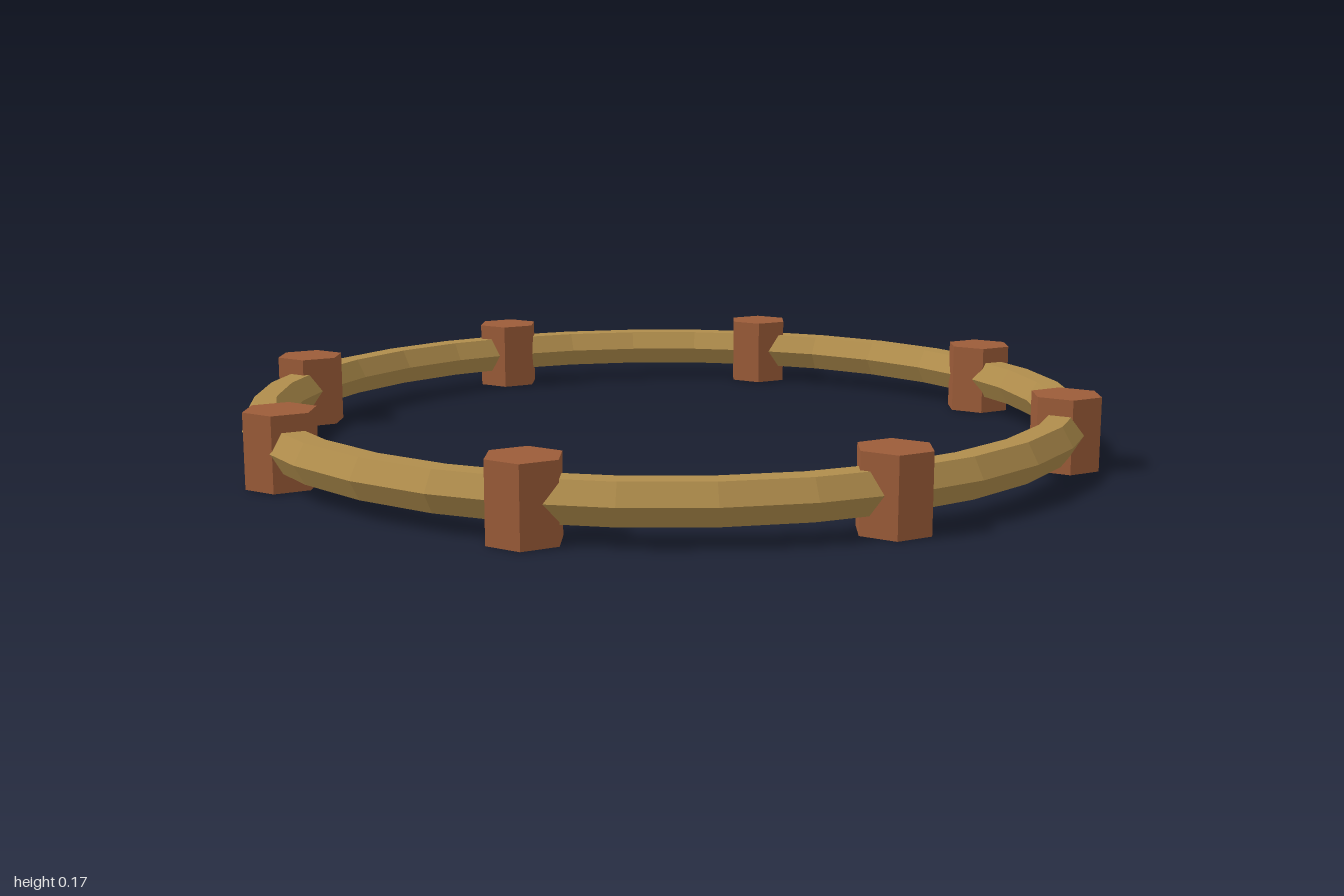
import * as THREE from 'three';
import { mergeGeometries } from 'three/addons/utils/BufferGeometryUtils.js';

const RING_RADIUS = 0.92;
const POST_RADIUS = 0.08;
const POST_HEIGHT = 0.165;
const POST_COUNT = 8;

// Six-sided sleeve with a lid, open underneath, corners on the x axis
function postGeometry() {
  const walls = new THREE.CylinderGeometry(POST_RADIUS, POST_RADIUS, POST_HEIGHT, 6, 1, true);
  walls.rotateY(Math.PI / 6);
  const lid = new THREE.CircleGeometry(POST_RADIUS, 6);
  lid.rotateX(-Math.PI / 2);
  lid.translate(0, POST_HEIGHT / 2, 0);
  const post = mergeGeometries([walls, lid]);
  post.translate(0, POST_HEIGHT / 2, 0);
  return post;
}

export function createModel() {
  const brass = new THREE.MeshStandardMaterial({ color: 0xb08d4c, flatShading: true });
  brass.name = 'brass';
  const brown = new THREE.MeshStandardMaterial({
    color: 0x9c5c39, flatShading: true, side: THREE.DoubleSide,
  });
  brown.name = 'reddish brown';

  const model = new THREE.Group();
  model.name = 'postedRing';

  // Hexagonal-section hoop
  const hoopGeometry = new THREE.TorusGeometry(RING_RADIUS, 0.05, 6, 32);
  hoopGeometry.rotateX(-Math.PI / 2);
  const hoop = new THREE.Mesh(hoopGeometry, brass);
  hoop.name = 'hoop';
  hoop.position.y = POST_HEIGHT / 2 + 0.002;
  model.add(hoop);

  // Posts evenly spaced round the hoop, all turned the same way
  const geometry = postGeometry();
  for (let i = 0; i < POST_COUNT; i++) {
    const a = (i / POST_COUNT) * Math.PI * 2;
    const post = new THREE.Mesh(geometry, brown);
    post.name = `post${i + 1}`;
    post.position.set(Math.cos(a) * RING_RADIUS, 0, Math.sin(a) * RING_RADIUS);
    model.add(post);
  }
  return model;
}
